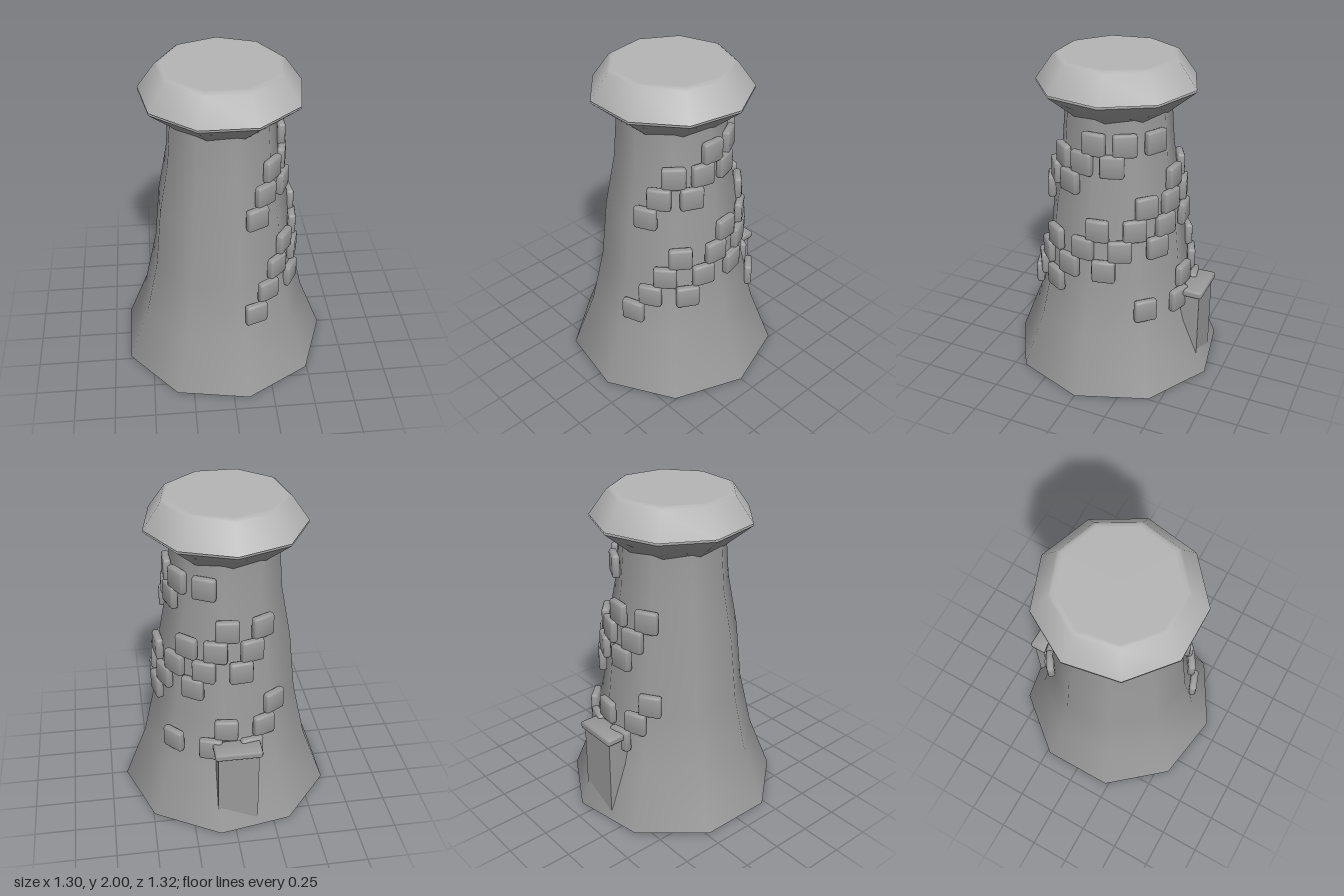
import * as THREE from 'three';
import { toCreasedNormals } from 'three/addons/utils/BufferGeometryUtils.js';
import { RoundedBoxGeometry } from 'three/addons/geometries/RoundedBoxGeometry.js';

const CENTRE_X = -0.02;
const SIDES = 9;
const stoneGrey = new THREE.MeshStandardMaterial({ color: 0x999999 });
const capGrey = new THREE.MeshStandardMaterial({ color: 0xb4b4b4 });

// Tower outline as [radius, height]
const TOWER = [[0.67, 0], [0.53, 0.36], [0.449, 0.72], [0.41, 1.1], [0.348, 1.43], [0.328, 1.69], [0.32, 1.8]];

// Rows of wall stones: height, then angles in degrees from +x towards +z
const STONES = [
  [1.56, 0, -30, -62],
  [1.435, 40, 12, -18],
  [1.307, 53, 24, -84, -117],
  [1.18, 64, -48, -74, -105],
  [1.05, -7, -37, -65, -95],
  [0.925, 35, 5, -25, -56],
  [0.795, 47, 17, -12.5, -123],
  [0.665, 58, 30, -83, -112],
  [0.54, 70, -43, -72, -101],
];

function mesh(name, geometry, x = 0, y = 0, z = 0, material = stoneGrey) {
  const m = new THREE.Mesh(geometry, material);
  m.name = name;
  m.position.set(x, y, z);
  return m;
}

// Closed nine-sided turned solid
function turned(profile, start) {
  const points = [[0, profile[0][1]], ...profile, [0, profile[profile.length - 1][1]]]
    .map(([r, y]) => new THREE.Vector2(r, y));
  return toCreasedNormals(new THREE.LatheGeometry(points, SIDES, start), 0.8);
}

// Bevelled block whose normals run softly over its edges
function softBlock(width, height, depth, bevel) {
  return toCreasedNormals(new RoundedBoxGeometry(width, height, depth, 1, bevel), 1.2);
}

function towerRadius(y) {
  const i = Math.max(1, TOWER.findIndex(p => p[1] >= y));
  const [r0, y0] = TOWER[i - 1], [r1, y1] = TOWER[i];
  return r0 + (r1 - r0) * (y - y0) / (y1 - y0);
}

export function createModel() {
  const model = new THREE.Group();
  model.name = 'tower';

  // Flared wall, with the collar and cap turned half a side against it
  model.add(mesh('towerWall', turned(TOWER, Math.PI / 2), CENTRE_X));
  model.add(mesh('collar', turned([[0.31, 1.675], [0.488, 1.825]], Math.PI), CENTRE_X));
  const capProfile = [[0.488, 1.837], [0.38, 1.988], [0.362, 2], [0.34, 2]];
  model.add(mesh('cap', turned(capProfile, Math.PI), CENTRE_X, 0, 0, capGrey));

  // Raised stones winding round the wall
  const stones = new THREE.Group();
  stones.name = 'wallStones';
  const stoneGeometry = softBlock(0.143, 0.143, 0.048, 0.016);
  for (const [y, ...angles] of STONES) {
    const r = towerRadius(y) + 0.01;
    for (const degrees of angles) {
      const a = THREE.MathUtils.degToRad(degrees);
      const stone = mesh('wallStone', stoneGeometry, CENTRE_X + r * Math.cos(a), y, r * Math.sin(a));
      stone.rotation.y = Math.PI / 2 - a;
      stones.add(stone);
    }
  }
  model.add(stones);

  // Doorway at the back
  model.add(mesh('door', new THREE.BoxGeometry(0.25, 0.5, 0.25), CENTRE_X, 0.3, -0.475));
  model.add(mesh('doorLintel', softBlock(0.29, 0.046, 0.14, 0.014), CENTRE_X, 0.572, -0.55));

  return model;
}
